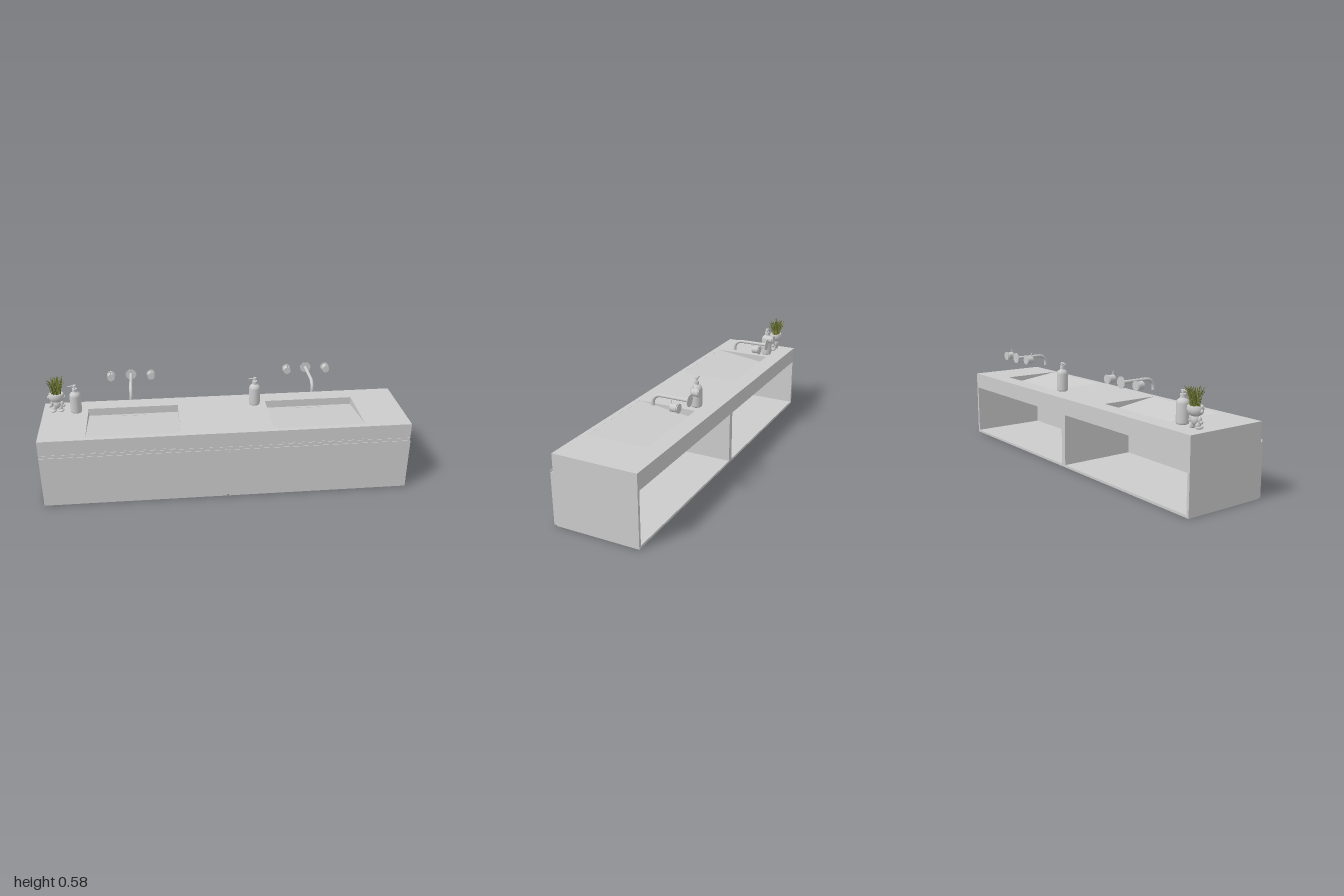
import * as THREE from 'three';

const grey = new THREE.MeshStandardMaterial({ color: 0xcccccc, side: THREE.DoubleSide });
const greens = [0x4f5f22, 0x6b7430, 0x8a8a45].map(
  (color) => new THREE.MeshStandardMaterial({ color, side: THREE.DoubleSide }));
const V = (x, y, z) => new THREE.Vector3(x, y, z);

function add(parent, name, geometry, x = 0, y = 0, z = 0, material = grey) {
  const mesh = new THREE.Mesh(geometry, material);
  mesh.name = name;
  mesh.position.set(x, y, z);
  parent.add(mesh);
  return mesh;
}

function group(parent, name, x = 0, y = 0, z = 0) {
  const g = new THREE.Group();
  g.name = name;
  g.position.set(x, y, z);
  parent.add(g);
  return g;
}

// Box given by its limits on each axis
function block(parent, name, x0, x1, y0, y1, z0, z1) {
  return add(parent, name, new THREE.BoxGeometry(x1 - x0, y1 - y0, z1 - z0),
    (x0 + x1) / 2, (y0 + y1) / 2, (z0 + z1) / 2);
}

// Profile of [z, y] points extruded along x, centred on x = 0
function extrudeX(points, width) {
  const shape = new THREE.Shape(points.map(([z, y]) => new THREE.Vector2(-z, y)));
  return new THREE.ExtrudeGeometry(shape, { depth: width, bevelEnabled: false })
    .translate(0, 0, -width / 2).rotateY(Math.PI / 2);
}

// Cylinder lying along z
const rod = (r, length) => new THREE.CylinderGeometry(r, r, length, 32).rotateX(Math.PI / 2);
const lathe = (points) => new THREE.LatheGeometry(points.map(([r, y]) => new THREE.Vector2(r, y)), 32);

function rect(path, x0, x1, y0, y1) {
  path.moveTo(x0, y0);
  path.lineTo(x1, y0);
  path.lineTo(x1, y1);
  path.lineTo(x0, y1);
  path.closePath();
  return path;
}

function addCabinet(parent) {
  const cabinet = group(parent, 'cabinet');
  // Carcass, open at the back
  block(cabinet, 'floorPanel', -1, 1, 0.001, 0.014, -0.235, 0.22);
  block(cabinet, 'divider', -0.016, 0.016, 0.014, 0.3, -0.235, 0.207);
  block(cabinet, 'frontPanel', -0.985, 0.985, 0.014, 0.3, 0.207, 0.22);
  for (const s of [-1, 1]) {
    block(cabinet, 'sidePanel', s * 0.9925 - 0.0075, s * 0.9925 + 0.0075, 0.014, 0.3, -0.235, 0.22);
    // Drawer front with a finger groove along its top
    add(cabinet, 'drawerFront', extrudeX([
      [0.22, 0.003], [0.237, 0.003], [0.237, 0.293], [0.234, 0.293],
      [0.234, 0.283], [0.222, 0.283], [0.222, 0.302], [0.22, 0.302],
    ], 0.993), s * 0.5005);
  }
}

function addCountertop(parent) {
  const top = group(parent, 'countertop');
  // Slab with two basin openings
  const shape = rect(new THREE.Shape(), -1, 1, -0.22, 0.235);
  for (const x of [-0.5, 0.5]) {
    shape.holes.push(rect(new THREE.Path(), x - 0.25, x + 0.25, -0.19, 0.14));
  }
  add(top, 'slab', new THREE.ExtrudeGeometry(shape, { depth: 0.09, bevelEnabled: false })
    .rotateX(-Math.PI / 2), 0, 0.295, 0);
  for (const x of [-0.5, 0.5]) {
    // Ramp falling towards the back, with a slit drain
    add(top, 'basinRamp', extrudeX([
      [-0.14, 0.332], [0.19, 0.375], [0.19, 0.3845], [-0.14, 0.342],
    ], 0.5), x);
    const drain = add(top, 'drainSlit', new THREE.BoxGeometry(0.15, 0.002, 0.006), x, 0.3455, -0.115);
    drain.rotation.x = -0.128;
    block(top, 'frontStrip', x - 0.25, x + 0.25, 0.304, 0.31, 0.219, 0.221);
  }
}

function addTap(parent, x) {
  const tap = group(parent, 'wallTap', x, 0.545, -0.235);
  // Spout with a quarter bend
  const path = new THREE.CurvePath();
  path.add(new THREE.LineCurve3(V(0, 0, 0), V(0, 0, 0.16)));
  path.add(new THREE.CubicBezierCurve3(V(0, 0, 0.16), V(0, 0, 0.185), V(0, -0.02, 0.205), V(0, -0.045, 0.205)));
  path.add(new THREE.LineCurve3(V(0, -0.045, 0.205), V(0, -0.058, 0.205)));
  add(tap, 'spout', new THREE.TubeGeometry(path, 60, 0.009, 20));
  const tip = add(tap, 'spoutTip', new THREE.CircleGeometry(0.009, 20), 0, -0.058, 0.205);
  tip.rotation.x = Math.PI / 2;
  add(tap, 'wallPlate', rod(0.03, 0.003), 0, 0, 0.0015);
  for (const s of [-1, 1]) {
    // Round handle with a small upright pin
    const handle = group(tap, 'handle', s * 0.112, 0, 0);
    add(handle, 'handleStem', rod(0.016, 0.01), 0, 0, 0.005);
    add(handle, 'handleBase', rod(0.024, 0.002), 0, 0, 0.001);
    add(handle, 'handleKnob', rod(0.02, 0.033), 0, 0, 0.0255);
    add(handle, 'handlePin', new THREE.CylinderGeometry(0.0025, 0.0025, 0.04, 12), 0, 0.018, 0.0395);
  }
}

function addSoapBottle(parent, x) {
  const bottle = group(parent, 'soapBottle', x, 0.385, -0.115);
  add(bottle, 'bottleBody', lathe([
    [0, 0], [0.027, 0], [0.03, 0.003], [0.031, 0.01], [0.031, 0.098], [0.029, 0.108],
    [0.023, 0.116], [0.015, 0.121], [0.013, 0.124], [0.013, 0.128], [0, 0.128],
  ]));
  add(bottle, 'pumpCollar', new THREE.CylinderGeometry(0.014, 0.014, 0.016, 32), 0, 0.134, 0);
  add(bottle, 'pumpStem', new THREE.CylinderGeometry(0.005, 0.005, 0.014, 16), 0, 0.148, 0);
  add(bottle, 'pumpHead', new THREE.CylinderGeometry(0.009, 0.01, 0.01, 24), 0, 0.157, 0);
  const nozzle = add(bottle, 'pumpNozzle', new THREE.CylinderGeometry(0.003, 0.004, 0.03, 12), -0.02, 0.156, 0);
  nozzle.rotation.z = Math.PI / 2 + 0.12;
}

function addPlant(parent) {
  const plant = group(parent, 'figurePlanter', -0.92, 0.385, -0.135);
  const ball = new THREE.SphereGeometry(1, 24, 16);
  const blob = (name, x, y, z, a, b, c) => add(plant, name, ball, x, y, z).scale.set(a, b, c);
  // Stubby figure carrying an open head
  blob('torso', 0, 0.042, 0, 0.022, 0.027, 0.019);
  for (const s of [-1, 1]) {
    blob('leg', s * 0.017, 0.018, 0.002, 0.013, 0.018, 0.013);
    blob('foot', s * 0.021, 0.008, 0.008, 0.016, 0.009, 0.02);
    blob('arm', s * 0.028, 0.045, 0.002, 0.009, 0.018, 0.009);
    blob('hand', s * 0.036, 0.034, 0.004, 0.009, 0.009, 0.009);
    blob('ear', s * 0.043, 0.085, 0, 0.007, 0.01, 0.008);
  }
  const head = add(plant, 'headPot', lathe([
    [0, 0.058], [0.02, 0.06], [0.034, 0.068], [0.041, 0.08], [0.043, 0.092], [0.041, 0.105],
    [0.037, 0.109], [0.034, 0.105], [0, 0.102],
  ]));
  head.scale.z = 0.85;
  // Tuft of curved grass blades
  let seed = 7;
  const rnd = () => (seed = (seed * 16807) % 2147483647) / 2147483647;
  for (let i = 0; i < 100; i++) {
    const a = rnd() * Math.PI * 2, r = 0.028 * Math.sqrt(rnd());
    const reach = r + 0.005 + rnd() * 0.022, h = 0.155 + rnd() * 0.042;
    const c = Math.cos(a), s = Math.sin(a);
    const curve = new THREE.QuadraticBezierCurve3(
      V(c * r, 0.1, s * r * 0.85), V(c * r * 1.1, h - 0.02, s * r), V(c * reach, h, s * reach));
    add(plant, 'grassBlade', new THREE.TubeGeometry(curve, 6, 0.0011, 4), 0, 0, 0, greens[i % 3]);
  }
}

export function createModel() {
  const model = new THREE.Group();
  model.name = 'doubleVanity';
  addCabinet(model);
  addCountertop(model);
  for (const x of [-0.505, 0.495]) addTap(model, x);
  for (const x of [-0.815, 0.185]) addSoapBottle(model, x);
  addPlant(model);
  return model;
}
